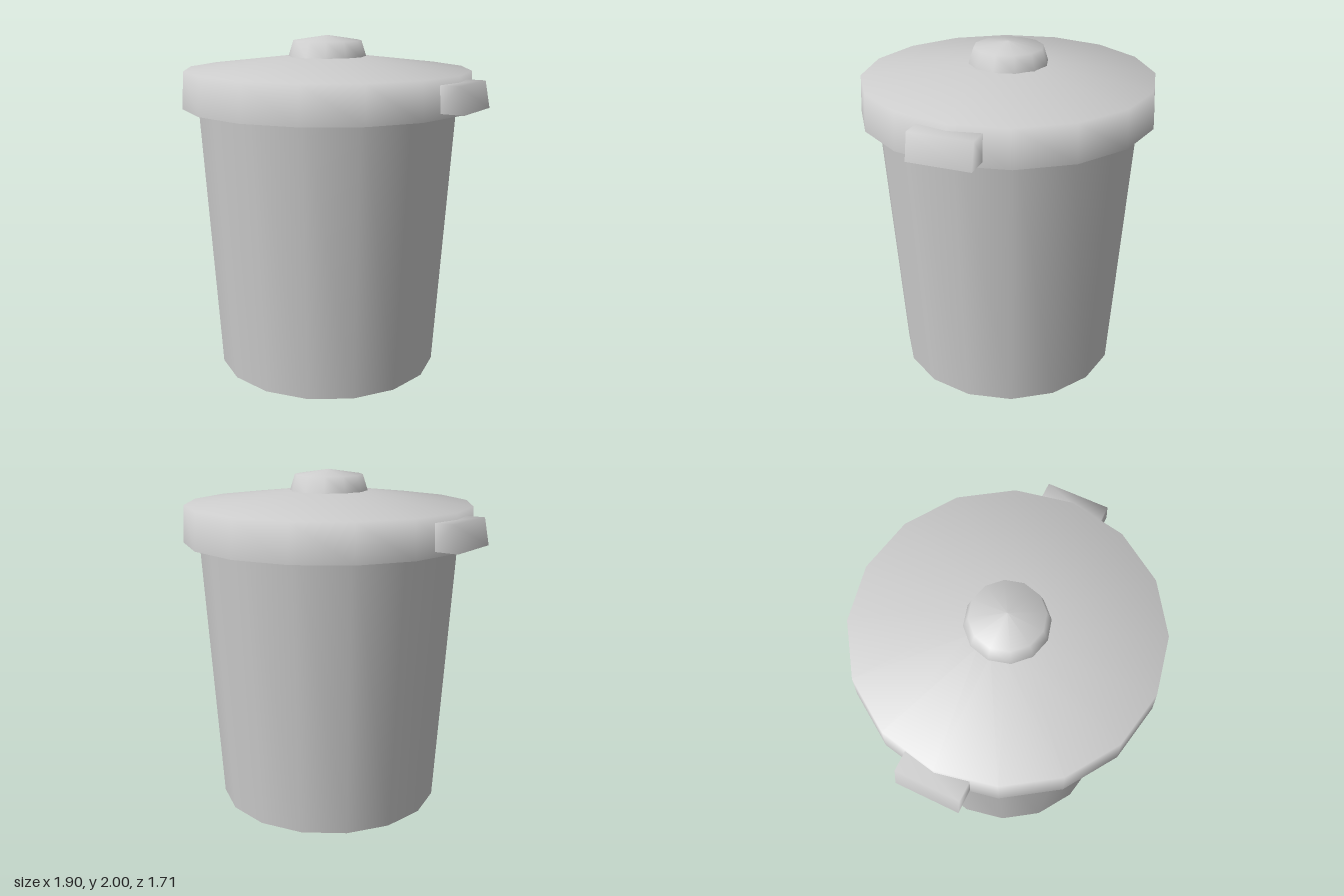
import * as THREE from 'three';

const grey = new THREE.MeshStandardMaterial({ color: 0xcccccc, side: THREE.DoubleSide });
grey.name = 'light grey';

// Smooth turned part from [radius, height] pairs, listed bottom to top
function turned(name, profile, sides) {
  const points = profile.map(([r, y]) => new THREE.Vector2(r, y));
  const mesh = new THREE.Mesh(new THREE.LatheGeometry(points, sides), grey);
  mesh.name = name;
  return mesh;
}

// Hollow hand grip: a top, a sloping outer face and two ends, open below
function handleGeometry() {
  const section = [[0.79, 1.62], [0.79, 1.77], [0.92, 1.77], [0.95, 1.62]];
  const positions = [];
  for (const z of [0.18, -0.18]) {
    for (const [x, y] of section) positions.push(x, y, z);
  }
  const geometry = new THREE.BufferGeometry();
  geometry.setAttribute('position', new THREE.Float32BufferAttribute(positions, 3));
  geometry.setIndex([
    1, 2, 6, 1, 6, 5, // top
    2, 3, 7, 2, 7, 6, // outer face
    0, 3, 2, 0, 2, 1, // front end
    4, 5, 6, 4, 6, 7, // back end
  ]);
  geometry.computeVertexNormals();
  return geometry;
}

export function createModel() {
  const model = new THREE.Group();
  model.name = 'dustbin';

  // Tapered open bin, reaching up inside the lid
  model.add(turned('body', [[0.665, 0], [0.774, 1.78]], 16));

  // Shallow conical lid with a deep skirt
  model.add(turned('lid', [[0.855, 1.59], [0.843, 1.805], [0.2, 1.882], [0, 1.89]], 16));

  // Knob on the lid
  model.add(turned('knob', [[0.23, 1.875], [0.2, 1.97], [0, 2]], 12));

  // Handles on both sides of the lid
  const grip = handleGeometry();
  for (const [name, turn] of [['leftHandle', 0], ['rightHandle', Math.PI]]) {
    const handle = new THREE.Mesh(grip, grey);
    handle.name = name;
    handle.rotation.y = turn;
    model.add(handle);
  }
  return model;
}
